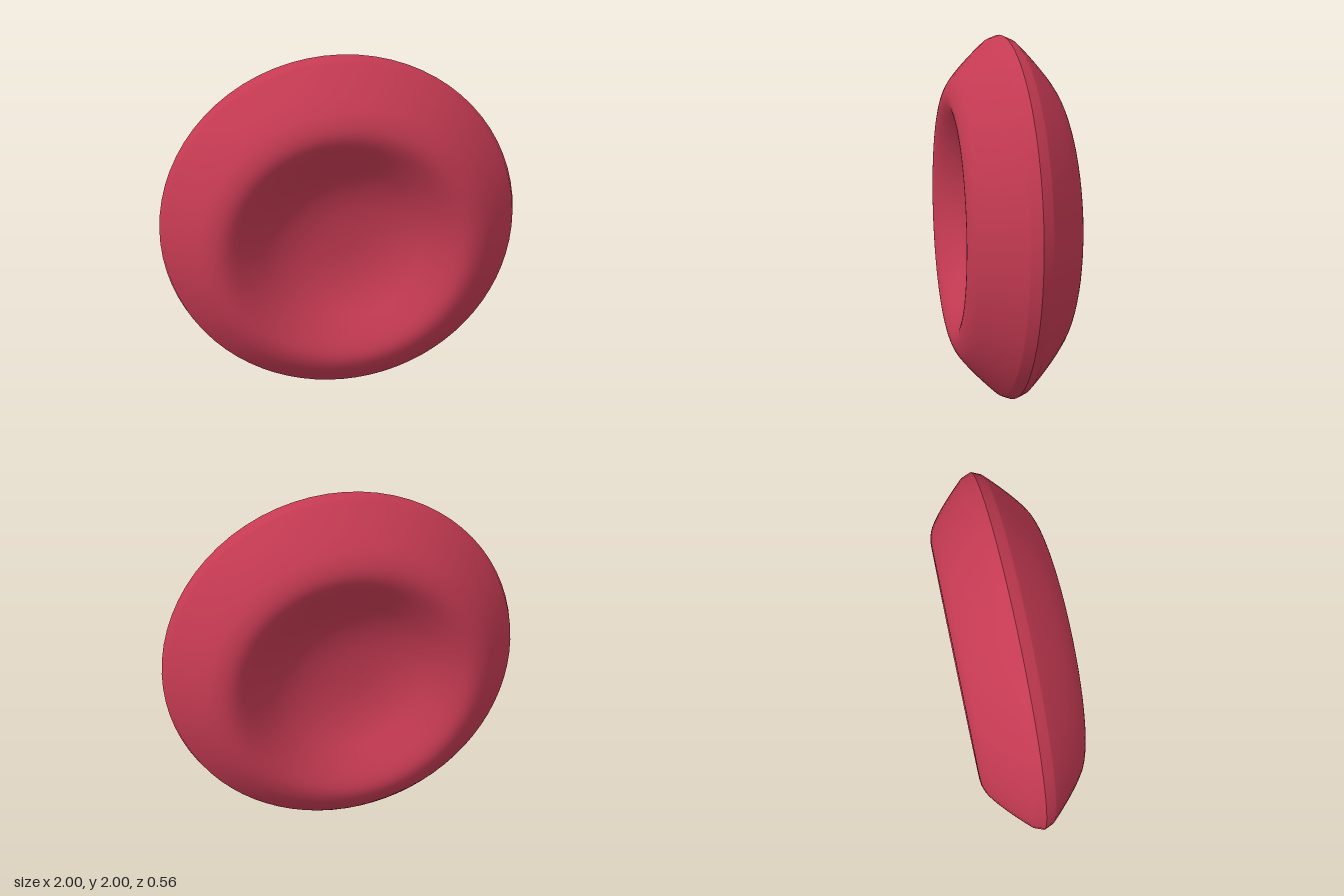
import * as THREE from 'three';

export function createModel() {
  const group = new THREE.Group();
  group.name = 'biconcaveDisc';
  const red = new THREE.MeshStandardMaterial({ color: 0xc43a52 });
  red.name = 'crimson';

  // Half profile (radius, height): shoulder, raised ring, then the wide soft dish
  const dish = new THREE.SplineCurve([
    [0.98, 0.05], [0.94, 0.093], [0.87, 0.162], [0.8, 0.223], [0.74, 0.263], [0.67, 0.282],
    [0.6, 0.264], [0.5, 0.202], [0.4, 0.136], [0.3, 0.091], [0.2, 0.065], [0.1, 0.053], [0, 0.05],
  ].map(([r, h]) => new THREE.Vector2(r, h)));
  const profile = [new THREE.Vector2(1, 0), ...dish.getPoints(48)];
  profile[profile.length - 1].x = 0;

  // Two identical halves meet at the sharp outer edge
  const half = new THREE.LatheGeometry(profile, 72);
  half.rotateX(Math.PI / 2);
  ['frontHalf', 'backHalf'].forEach((name, i) => {
    const mesh = new THREE.Mesh(half, red);
    mesh.name = name;
    mesh.position.y = 1;
    mesh.rotation.y = i * Math.PI;
    group.add(mesh);
  });
  return group;
}
